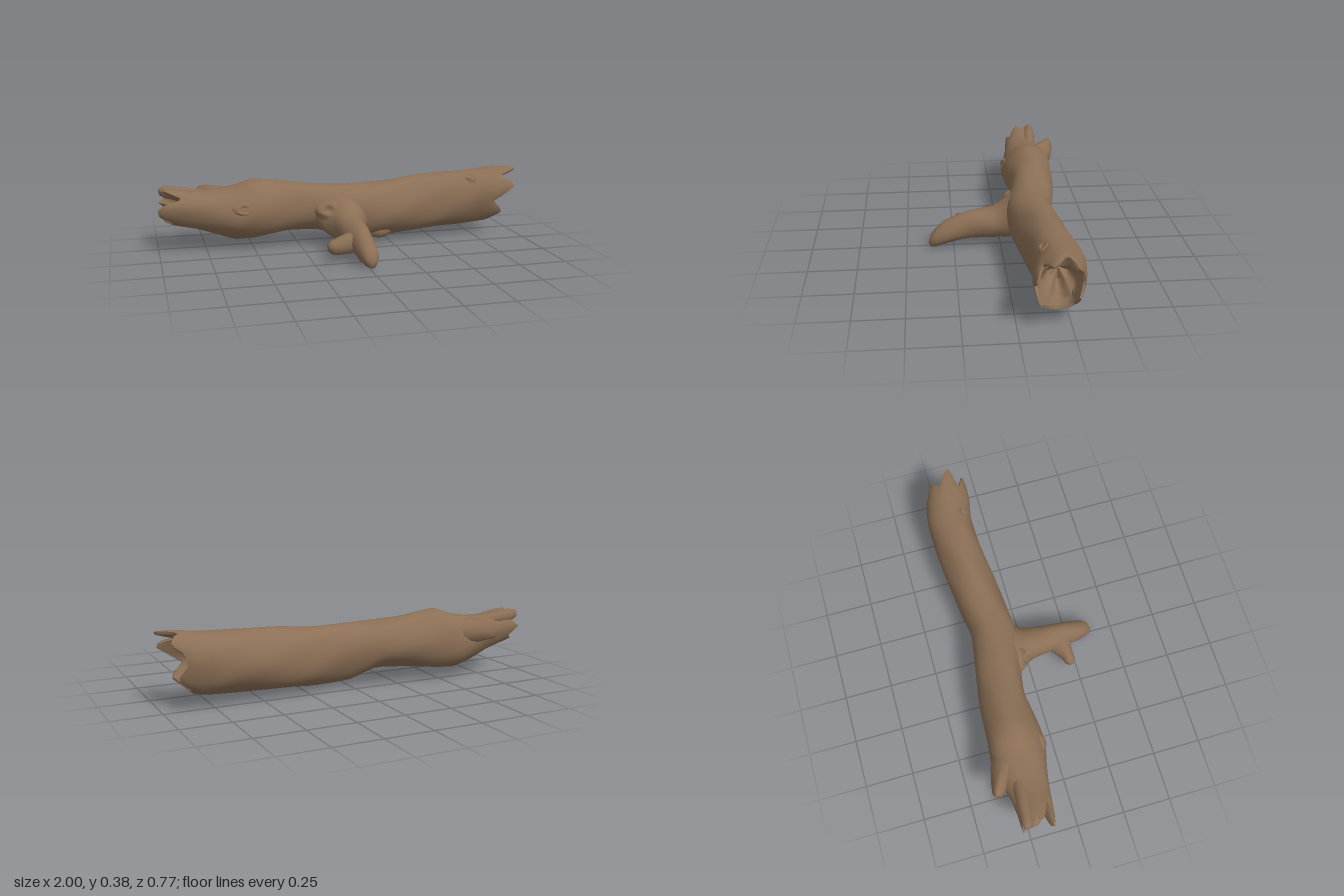
import * as THREE from 'three';
import { toCreasedNormals } from 'three/addons/utils/BufferGeometryUtils.js';

// Trunk sections: x, bottom y, top y, back z, front z
const TRUNK = [
  [-1.0, 0.165, 0.345, -0.29, -0.12],
  [-0.9, 0.145, 0.335, -0.29, -0.11],
  [-0.8, 0.12, 0.32, -0.3, -0.1],
  [-0.7, 0.085, 0.325, -0.335, -0.08],
  [-0.6, 0.05, 0.34, -0.35, -0.06],
  [-0.5, 0.05, 0.37, -0.34, -0.06],
  [-0.3, 0.08, 0.348, -0.32, -0.08],
  [-0.15, 0.088, 0.335, -0.3, -0.06],
  [0.0, 0.035, 0.33, -0.275, -0.03],
  [0.1, 0.03, 0.33, -0.262, -0.03],
  [0.25, 0.03, 0.332, -0.29, -0.045],
  [0.4, 0.038, 0.345, -0.305, -0.06],
  [0.6, 0.053, 0.362, -0.32, -0.08],
  [0.75, 0.06, 0.367, -0.33, -0.09],
  [0.85, 0.07, 0.375, -0.315, -0.07],
  [1.0, 0.085, 0.39, -0.285, -0.06],
];

// Broken rims: angle in degrees (0 = front, 90 = top), x reached there
const RIM_RIGHT = [
  [-180, 0.89], [-150, 0.93], [-125, 0.86], [-90, 0.85], [-65, 0.87], [-45, 0.91], [-30, 0.9],
  [-10, 0.85], [5, 0.92], [20, 0.98], [32, 0.96], [48, 0.89], [60, 0.95], [72, 1.0], [86, 0.99],
  [104, 0.9], [122, 0.94], [140, 0.955], [155, 0.9], [180, 0.89],
];
const RIM_LEFT = [
  [-180, -0.99], [-150, -0.93], [-120, -0.97], [-90, -0.96], [-60, -0.92], [-35, -0.99], [-10, -1.0],
  [12, -0.97], [32, -0.89], [45, -0.88], [58, -0.93], [75, -0.97], [95, -0.93], [115, -0.98],
  [140, -0.98], [155, -0.94], [180, -0.99],
];

// Linear interpolation in a table sorted by its first column
function lookUp(table, t) {
  let i = 0;
  while (i < table.length - 2 && t > table[i + 1][0]) i++;
  const a = table[i], b = table[i + 1];
  const k = THREE.MathUtils.clamp((t - a[0]) / (b[0] - a[0]), 0, 1);
  return a.map((v, n) => v + (b[n] - v) * k);
}

// Closed-ring surface; place(row, angle) returns a Vector3
function loft(rows, segs, place, crease) {
  const pos = [], idx = [];
  for (let i = 0; i < rows; i++) {
    for (let j = 0; j < segs; j++) {
      pos.push(...place(i, -Math.PI + (2 * Math.PI * j) / segs).toArray());
      if (i === rows - 1) continue;
      const k = (j + 1) % segs;
      const a = i * segs + j, b = a + segs, c = b - j + k, d = i * segs + k;
      idx.push(a, b, d, b, c, d);
    }
  }
  const g = new THREE.BufferGeometry();
  g.setAttribute('position', new THREE.Float32BufferAttribute(pos, 3));
  g.setIndex(idx);
  return toCreasedNormals(g, crease);
}

// Point on the trunk at x, scaled about the section's middle
function trunkPoint(x, ang, scale) {
  const [, y0, y1, z0, z1] = lookUp(TRUNK, x);
  const lump = 1 + 0.022 * Math.sin(3 * ang + 8 * x) + 0.018 * Math.sin(5 * ang - 15 * x);
  const r = scale * lump;
  return new THREE.Vector3(
    x,
    (y0 + y1) / 2 + ((y1 - y0) / 2) * Math.sin(ang) * r,
    (z0 + z1) / 2 + ((z1 - z0) / 2) * Math.cos(ang) * r,
  );
}

function trunkGeometry() {
  const rows = [];
  // hollow of the left end: fixed depth, or an offset from the rim
  rows.push({ x: -0.83, s: 0 }, { x: -0.845, s: 0.4 }, { left: 0.025, s: 0.68 }, { left: 0.002, s: 0.84 });
  for (let i = 0; i <= 44; i++) rows.push({ t: -1 + i / 22, s: i === 0 || i === 44 ? 0.95 : 1 });
  // deeper hollow of the right end
  rows.push({ right: 0.004, s: 0.86 }, { right: 0.06, s: 0.8 }, { x: 0.78, s: 0.66 },
    { x: 0.71, s: 0.4 }, { x: 0.69, s: 0 });
  return loft(rows.length, 40, (i, ang) => {
    const row = rows[i];
    const deg = THREE.MathUtils.radToDeg(ang);
    const l = lookUp(RIM_LEFT, deg)[1], r = lookUp(RIM_RIGHT, deg)[1];
    let x = row.x;
    if (row.left !== undefined) x = l + row.left;
    else if (row.right !== undefined) x = r - row.right;
    else if (row.t !== undefined) {
      x = row.t;
      if (x > 0.7) x = 0.7 + ((x - 0.7) / 0.3) * (r - 0.7);
      if (x < -0.75) x = -0.75 + ((-0.75 - x) / 0.25) * (l + 0.75);
    } else if (row.s > 0) x += 0.02 * Math.sin(5 * ang);
    return trunkPoint(x, ang, row.s);
  }, 0.75);
}

// Limb with rings square to one axis; each ring: x, y, z, width radius, height radius
function limbGeometry(rings, axis, segs = 18, lump = 0.03) {
  const d = new THREE.Vector3(...axis).normalize();
  const up = new THREE.Vector3(0, 1, 0).addScaledVector(d, -d.y).normalize();
  const side = d.clone().cross(up);
  return loft(rings.length, segs, (i, ang) => {
    const [x, y, z, w, h] = rings[i];
    const r = 1 + lump * Math.sin(3 * ang + i * 1.3);
    return new THREE.Vector3(x, y, z)
      .addScaledVector(side, Math.cos(ang) * w * r)
      .addScaledVector(up, Math.sin(ang) * h * r);
  }, 1.1);
}

export function createModel() {
  const group = new THREE.Group();
  const bark = new THREE.MeshStandardMaterial({ color: 0x8b6f55 });
  bark.name = 'bark';
  const add = (name, geometry) => {
    const mesh = new THREE.Mesh(geometry, bark);
    mesh.name = name;
    group.add(mesh);
  };

  add('trunk', trunkGeometry());

  // Side branch flaring out of the trunk and drooping to the ground
  add('branch', limbGeometry([
    [-0.02, 0.185, -0.11, 0.16, 0.11],
    [-0.025, 0.17, -0.07, 0.15, 0.115],
    [-0.02, 0.15, -0.035, 0.12, 0.107],
    [-0.018, 0.135, 0.0, 0.095, 0.095],
    [-0.015, 0.122, 0.04, 0.083, 0.086],
    [-0.015, 0.12, 0.1, 0.075, 0.08],
    [-0.01, 0.117, 0.17, 0.066, 0.075],
    [-0.002, 0.103, 0.23, 0.06, 0.07],
    [0.002, 0.077, 0.3, 0.053, 0.065],
    [0.01, 0.053, 0.345, 0.043, 0.05],
    [0.012, 0.037, 0.372, 0.028, 0.034],
    [0.012, 0.026, 0.385, 0, 0],
  ], [0, 0, 1]));

  // Short fork on the branch, with a broad root
  add('fork', limbGeometry([
    [0.0, 0.1, 0.19, 0.085, 0.05],
    [-0.05, 0.095, 0.19, 0.07, 0.055],
    [-0.09, 0.087, 0.2, 0.047, 0.05],
    [-0.125, 0.082, 0.21, 0.034, 0.045],
    [-0.155, 0.08, 0.216, 0.03, 0.038],
    [-0.173, 0.08, 0.222, 0.018, 0.024],
    [-0.179, 0.08, 0.224, 0, 0],
  ], [-1, -0.1, 0.3], 14));

  // Splintered stub at the back of the left end
  add('backStub', limbGeometry([
    [-0.57, 0.23, -0.24, 0.08, 0.09],
    [-0.66, 0.25, -0.3, 0.055, 0.075],
    [-0.72, 0.26, -0.33, 0.043, 0.063],
    [-0.77, 0.266, -0.353, 0.031, 0.054],
    [-0.79, 0.27, -0.361, 0.016, 0.028],
    [-0.78, 0.27, -0.355, 0, 0],
  ], [-0.9, 0.1, -0.35], 12, 0.08));

  // Raised splinter running from the stub toward the left end
  add('splinter', limbGeometry([
    [-0.68, 0.28, -0.235, 0.02, 0.02],
    [-0.76, 0.288, -0.24, 0.034, 0.034],
    [-0.87, 0.3, -0.25, 0.034, 0.036],
    [-0.95, 0.312, -0.258, 0.028, 0.034],
    [-0.98, 0.318, -0.262, 0.018, 0.022],
    [-0.988, 0.32, -0.263, 0, 0],
  ], [-1, 0.1, -0.08], 10));

  // Knots: low rim ring with a sunken middle
  const knots = [
    ['frontKnot', [-0.56, 0.235, -0.068], [0.1, 0.25, 1], 0.045],
    ['branchKnot', [-0.115, 0.215, -0.035], [-0.3, 0.4, 1], 0.055],
    ['endKnot', [0.73, 0.33, -0.135], [0, 0.8, 0.6], 0.036],
  ];
  for (const [name, p, axis, r] of knots) {
    const d = new THREE.Vector3(...axis).normalize();
    const ring = (h, s) => [...new THREE.Vector3(...p).addScaledVector(d, h).toArray(), r * s, r * 0.75 * s];
    add(name, limbGeometry([
      ring(-0.018, 1.5), ring(0.0, 1.1), ring(0.012, 0.8), ring(0.011, 0.55), ring(0.002, 0.3), ring(0, 0),
    ], axis, 12, 0.1));
  }

  // Low swelling under the trunk
  add('underBump', limbGeometry([
    [0.19, 0.08, -0.13, 0.09, 0.05],
    [0.19, 0.05, -0.115, 0.07, 0.04],
    [0.19, 0.032, -0.105, 0.035, 0.022],
    [0.19, 0.026, -0.102, 0, 0],
  ], [0, -1, 0.35], 12));

  return group;
}
